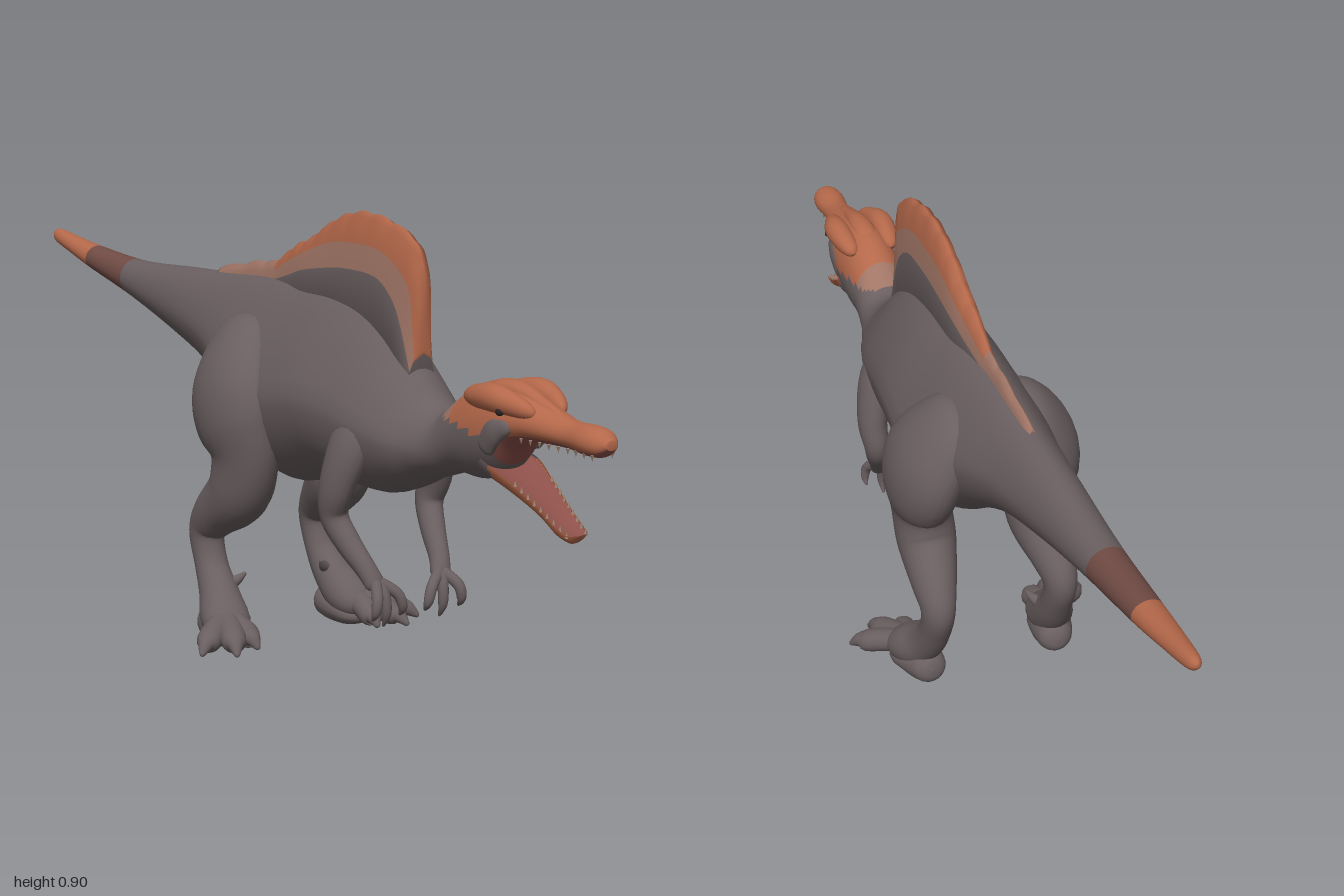
import * as THREE from 'three';

const mat = (name, color) => Object.assign(new THREE.MeshStandardMaterial({ color }), { name });
const hide = mat('hide grey', 0x6a5f60), orange = mat('rust orange', 0xb4684a), tan = mat('dusty tan', 0xa17666);
const brown = mat('dark brown', 0x704b44), mouth = mat('mouth red', 0x8c5049), ivory = mat('tooth ivory', 0xa08470);
const dark = mat('eye black', 0x2c2424);

// Smooth interpolation through rows of numbers
function sample(rows, n) {
  const out = [], last = rows.length - 1;
  for (let i = 0; i <= n; i++) {
    const f = (i / n) * last, k = Math.min(Math.floor(f), last - 1), t = f - k;
    const a = rows[Math.max(k - 1, 0)], b = rows[k], c = rows[k + 1], d = rows[Math.min(k + 2, last)];
    out.push(b.map((_, m) => b[m] + 0.5 * t * (c[m] - a[m] + t * (2 * a[m] - 5 * b[m] + 4 * c[m] - d[m]
      + t * (3 * (b[m] - c[m]) + d[m] - a[m])))));
  }
  return out;
}

// Closed skin over rings of points; pick(centre, ring, side) chooses each face's material
function skin(name, rings, mats, pick = () => 0) {
  const m = rings[0].length;
  const mid = (r) => r.reduce((s, p) => s.add(p), new THREE.Vector3()).divideScalar(m);
  const pts = [...rings.flat(), mid(rings[0]), mid(rings[rings.length - 1])];
  const lists = mats.map(() => []);
  let volume = 0;
  const tri = (g, a, b, c) => {
    lists[g].push(a, b, c);
    volume += pts[a].dot(new THREE.Vector3().crossVectors(pts[b], pts[c]));
  };
  for (let i = 0; i < rings.length - 1; i++) {
    for (let j = 0; j < m; j++) {
      const a = i * m + j, b = i * m + (j + 1) % m, c = a + m, d = b + m;
      const centre = pts[a].clone().add(pts[b]).add(pts[c]).add(pts[d]).multiplyScalar(0.25);
      const g = pick(centre, i, j);
      tri(g, a, b, d);
      tri(g, a, d, c);
    }
  }
  const n = rings.length, end = (n - 1) * m;
  const g0 = pick(pts[n * m], 0, 0), g1 = pick(pts[n * m + 1], n - 2, 0);
  for (let j = 0; j < m; j++) {
    tri(g0, n * m, (j + 1) % m, j);
    tri(g1, n * m + 1, end + j, end + (j + 1) % m);
  }
  const geo = new THREE.BufferGeometry().setFromPoints(pts), index = [];
  lists.forEach((l, g) => {
    geo.addGroup(index.length, l.length, g);
    for (let k = 0; k < l.length; k += 3) index.push(l[k], ...(volume < 0 ? [l[k + 2], l[k + 1]] : [l[k + 1], l[k + 2]]));
  });
  geo.setIndex(index);
  geo.computeVertexNormals();
  const mesh = new THREE.Mesh(geo, mats);
  mesh.name = name;
  return mesh;
}

// Fleshy limb along rows of [x, y, z, side radius, depth radius]
function limb(name, rows, { s = 1, mats = [hide], pick, n = 36, m = 18, round = 0.06, scoop = 1 } = {}) {
  const path = sample(rows, n), v = (p) => new THREE.Vector3(p[0] * s, p[1], p[2]);
  const rings = path.map((p, i) => {
    const t = v(path[Math.min(i + 1, n)]).sub(v(path[Math.max(i - 1, 0)])).normalize();
    const side = new THREE.Vector3(1, 0, 0).addScaledVector(t, -t.x).normalize();
    const up = new THREE.Vector3().crossVectors(t, side);
    const e = Math.min(1, Math.min(i, n - i) / n / round), f = Math.sqrt(Math.max(0.001, 1 - (1 - e) ** 2));
    return Array.from({ length: m }, (_, j) => {
      const a = (j / m) * Math.PI * 2, h = Math.sin(a) > 0 ? scoop : 1;
      return v(p).addScaledVector(side, Math.cos(a) * p[3] * f).addScaledVector(up, Math.sin(a) * p[4] * f * h);
    });
  });
  return skin(name, rings, mats, pick);
}

function tooth(name, x, y, z, down) {
  const t = new THREE.Mesh(new THREE.ConeGeometry(0.0035, 0.011, 6), ivory);
  t.position.set(x, y, z);
  if (down) t.rotation.x = Math.PI;
  t.name = name;
  return t;
}

export function createModel() {
  const model = new THREE.Group();
  model.name = 'sailBackedDinosaur';

  // Tail, trunk, neck and skull: [z, top, bottom, half width, back taper]
  const trunk = sample([
    [-1, 0.728, 0.718, 0.004, 0], [-0.98, 0.735, 0.703, 0.015, 0], [-0.9, 0.726, 0.685, 0.024, 0],
    [-0.8, 0.716, 0.662, 0.032, 0], [-0.6, 0.706, 0.62, 0.043, 0], [-0.4, 0.716, 0.567, 0.06, 0.1],
    [-0.25, 0.724, 0.52, 0.08, 0.25], [-0.12, 0.735, 0.45, 0.11, 0.38], [0, 0.742, 0.365, 0.136, 0.42],
    [0.08, 0.745, 0.342, 0.143, 0.45], [0.2, 0.745, 0.372, 0.138, 0.45], [0.3, 0.73, 0.372, 0.128, 0.45],
    [0.38, 0.69, 0.375, 0.118, 0.4], [0.45, 0.625, 0.398, 0.1, 0.3], [0.5, 0.578, 0.422, 0.08, 0.15],
    [0.55, 0.565, 0.44, 0.065, 0], [0.6, 0.602, 0.455, 0.061, 0], [0.66, 0.635, 0.456, 0.064, 0],
    [0.715, 0.643, 0.475, 0.065, 0], [0.76, 0.636, 0.53, 0.06, 0], [0.8, 0.626, 0.547, 0.05, 0],
    [0.85, 0.613, 0.552, 0.038, 0], [0.9, 0.603, 0.553, 0.029, 0], [0.95, 0.604, 0.55, 0.033, 0],
    [0.98, 0.6, 0.553, 0.028, 0], [1, 0.585, 0.568, 0.012, 0]], 200);
  const sides = 40;
  const rings = trunk.map(([z, top, bot, hw, k]) => Array.from({ length: sides }, (_, j) => {
    const a = (j / sides) * Math.PI * 2, s = Math.sin(a), mid = bot + (top - bot) * 0.47;
    return new THREE.Vector3(hw * Math.cos(a) * (1 - k * Math.max(s, 0)), mid + s * (s > 0 ? top - mid : mid - bot), z);
  }));
  model.add(skin('body', rings, [hide, orange, tan, brown, mouth], (c, i, j) => {
    if (c.z < -0.79) return 1;
    if (c.z < -0.63) return 3;
    if (c.z > 0.73 && j > 23 && j < 36) return 4;
    if (c.z > 0.73) return 1;
    if (c.z > 0.56 && c.y > 0.565 - (c.z - 0.56) * 0.1) return c.z < 0.61 ? 2 : 1;
    return 0;
  }));

  // Sail columns, front to back: z and y at root, grey edge, tan edge and crest
  const sail = sample([
    [0.43, 0.54, 0.45, 0.62, 0.453, 0.64, 0.456, 0.655], [0.41, 0.58, 0.42, 0.7, 0.44, 0.755, 0.457, 0.79],
    [0.38, 0.6, 0.39, 0.75, 0.41, 0.8, 0.425, 0.858], [0.33, 0.62, 0.335, 0.785, 0.34, 0.835, 0.34, 0.89],
    [0.24, 0.64, 0.24, 0.79, 0.24, 0.84, 0.25, 0.896], [0.16, 0.65, 0.16, 0.782, 0.16, 0.83, 0.165, 0.873],
    [0.08, 0.66, 0.08, 0.768, 0.08, 0.803, 0.09, 0.833], [0.02, 0.67, 0.02, 0.75, 0.02, 0.78, 0.02, 0.805],
    [-0.05, 0.67, -0.05, 0.732, -0.05, 0.752, -0.05, 0.768], [-0.13, 0.67, -0.13, 0.722, -0.13, 0.742, -0.13, 0.756],
    [-0.27, 0.67, -0.27, 0.705, -0.27, 0.717, -0.27, 0.728]], 110);
  const thick = [0.042, 0.028, 0.021, 0.013];
  model.add(skin('sail', sail.map((c, i) => {
    const top = c[7] + 0.005 * Math.abs(Math.sin(i * 0.4));
    const thin = 1 - 0.5 * THREE.MathUtils.smoothstep(i, 60, 95);
    const row = (s) => thick.map((w, k) => new THREE.Vector3(s * w * thin, k === 3 ? top - 0.008 : c[k * 2 + 1], c[k * 2]));
    return [...row(1), new THREE.Vector3(0, top, c[6]), ...row(-1).reverse()];
  }), [hide, tan, orange], (c, i, j) => {
    const band = [0, 1, 2, 2, 2, 2, 1, 0, 0][j];
    return band === 2 && c.z < -0.04 ? 1 : band;
  }));

  // Scooped lower jaw
  model.add(limb('lowerJaw', [
    [0, 0.515, 0.67, 0.05, 0.045], [0, 0.5, 0.73, 0.056, 0.042], [0, 0.472, 0.79, 0.043, 0.035],
    [0, 0.442, 0.845, 0.032, 0.028], [0, 0.415, 0.89, 0.028, 0.026], [0, 0.402, 0.918, 0.022, 0.018]],
  { mats: [orange, mouth, hide], m: 24, scoop: -0.35, pick: (c, i, j) => (j > 0 && j < 11 ? 1 : c.z < 0.73 ? 2 : 0) }));

  // Low ridge along the forehead
  model.add(limb('foreheadRidge', [[0, 0.628, 0.67, 0.03, 0.018], [0, 0.63, 0.75, 0.022, 0.018],
    [0, 0.612, 0.82, 0.014, 0.014], [0, 0.598, 0.88, 0.01, 0.008]], { mats: [orange], round: 0.25 }));

  for (const s of [1, -1]) {
    const side = s > 0 ? 'left' : 'right';
    const add = (name, rows, opt = {}) => model.add(limb(side + name, rows, { s, ...opt }));

    // Brow, eye, cheek and teeth
    add('Brow', [[0.032, 0.604, 0.83, 0.01, 0.012], [0.045, 0.616, 0.785, 0.02, 0.021],
      [0.05, 0.622, 0.735, 0.026, 0.026], [0.043, 0.613, 0.65, 0.02, 0.018]], { mats: [orange], round: 0.2 });
    const eye = new THREE.Mesh(new THREE.SphereGeometry(0.008, 12, 8), dark);
    eye.position.set(s * 0.063, 0.604, 0.77);
    eye.name = side + 'Eye';
    model.add(eye);
    add('Cheek', [[0.05, 0.578, 0.785, 0.009, 0.012], [0.056, 0.563, 0.745, 0.012, 0.024], [0.052, 0.525, 0.71, 0.012, 0.025]],
      { round: 0.2 });
    for (let i = 0; i < 9; i++) {
      const t = i / 8;
      model.add(tooth(side + 'UpperTooth', s * (0.038 - 0.016 * Math.min(1, t * 1.6)), 0.553, 0.8 + t * 0.175, true));
      model.add(tooth(side + 'LowerTooth', s * (0.041 - 0.02 * t), 0.476 - 0.071 * t, 0.79 + t * 0.12, false));
    }

    // Hind leg from hip to foot
    add('Leg', [[0.045, 0.66, -0.05, 0.04, 0.06], [0.088, 0.6, -0.04, 0.058, 0.095], [0.122, 0.53, -0.02, 0.069, 0.115],
      [0.131, 0.465, 0.005, 0.069, 0.112], [0.122, 0.395, 0.02, 0.06, 0.087], [0.12, 0.32, -0.005, 0.06, 0.072],
      [0.13, 0.26, -0.075, 0.046, 0.052], [0.134, 0.215, -0.107, 0.035, 0.041], [0.135, 0.15, -0.088, 0.034, 0.034],
      [0.14, 0.1, -0.052, 0.04, 0.042], [0.153, 0.062, -0.01, 0.05, 0.046], [0.168, 0.045, 0.045, 0.046, 0.03]],
    { n: 66, m: 24 });
    add('HeelPad', [[0.14, 0.045, -0.093, 0.03, 0.032], [0.145, 0.036, -0.045, 0.043, 0.036], [0.165, 0.022, 0.04, 0.05, 0.022]],
      { round: 0.3 });
    for (const [x, z] of [[0.145, 0.108], [0.207, 0.128], [0.264, 0.085]]) {
      const at = (t, y, r) => [0.155 + (x - 0.155) * t, y, z * t, r, r * 0.95];
      add('Toe', [at(0, 0.06, 0.028), at(0.4, 0.05, 0.026), at(0.7, 0.038, 0.025), at(0.84, 0.034, 0.016), at(1, 0.018, 0.004)]);
    }
    add('Spur', [[0.125, 0.11, -0.05, 0.016, 0.016], [0.105, 0.125, -0.035, 0.01, 0.01], [0.092, 0.14, -0.025, 0.003, 0.003]]);

    // Arm and clawed fingers
    add('Arm', [[0.06, 0.55, 0.36, 0.03, 0.045], [0.095, 0.48, 0.36, 0.036, 0.05], [0.115, 0.395, 0.34, 0.031, 0.04],
      [0.112, 0.335, 0.325, 0.027, 0.03], [0.1, 0.285, 0.355, 0.024, 0.026], [0.086, 0.24, 0.395, 0.02, 0.021],
      [0.074, 0.205, 0.418, 0.022, 0.015]]);
    for (const [x, y, z] of [[0.03, 0.148, 0.43], [0.066, 0.13, 0.428], [0.1, 0.15, 0.442]]) {
      add('Finger', [[0.076, 0.22, 0.412, 0.012, 0.012], [0.076 + (x - 0.076) * 0.75, 0.195, z + 0.004, 0.011, 0.011],
        [x, (y + 0.185) / 2, z + 0.008, 0.009, 0.009], [x, y, z - 0.004, 0.002, 0.002]], { n: 20, m: 10 });
    }
  }
  return model;
}
